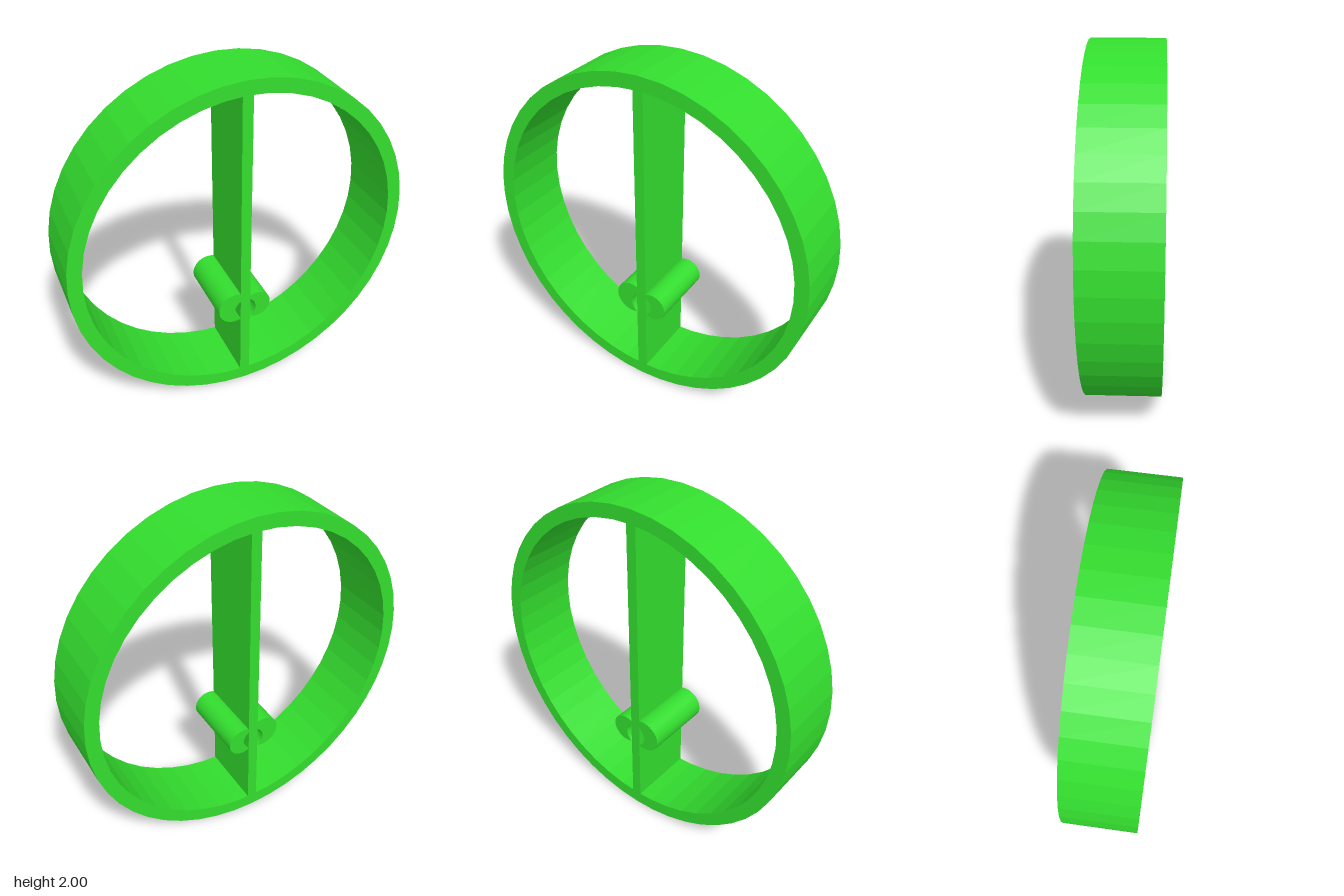
import * as THREE from 'three';

const DEPTH = 0.41;
const BAR_HALF = 0.03;

export function createModel() {
  const group = new THREE.Group();
  const material = new THREE.MeshStandardMaterial({ color: 0x33dd2e, flatShading: true });

  const add = (name, geometry) => {
    const mesh = new THREE.Mesh(geometry, material);
    mesh.name = name;
    group.add(mesh);
    return mesh;
  };
  const extrude = (shape) =>
    new THREE.ExtrudeGeometry(shape, { depth: DEPTH, bevelEnabled: false, curveSegments: 24 })
      .translate(0, 0, -DEPTH / 2);

  // Outer ring
  const ringShape = new THREE.Shape().absarc(0, 1, 1, 0, Math.PI * 2);
  ringShape.holes.push(new THREE.Path().absarc(0, 1, 0.92, 0, Math.PI * 2, true));
  add('ring', extrude(ringShape));

  // Upright divider across the ring
  add('divider', new THREE.BoxGeometry(BAR_HALF * 2, 1.84, DEPTH)).position.y = 1;

  // Round lobes against the divider, hollowed by a shared central bore
  const bore = { y: 0.56, rx: 0.066, ry: 0.073 };
  const lobe = (side, cx, cy, r) => {
    const points = [];
    const n = 24;
    // Outer arc, from the top of the divider contact to the bottom
    const a0 = Math.acos((BAR_HALF - cx) / r);
    for (let i = 0; i <= n; i++) {
      const a = a0 - (2 * a0 * i) / n;
      points.push(new THREE.Vector2(side * (cx + r * Math.cos(a)), cy + r * Math.sin(a)));
    }
    // Bore wall, back up to the divider
    const b0 = Math.acos(BAR_HALF / bore.rx);
    for (let i = 0; i <= 12; i++) {
      const b = -b0 + (2 * b0 * i) / 12;
      points.push(new THREE.Vector2(side * bore.rx * Math.cos(b), bore.y + bore.ry * Math.sin(b)));
    }
    return extrude(new THREE.Shape(points));
  };
  add('rightLobe', lobe(-1, 0.066, 0.588, 0.1));
  add('leftLobe', lobe(1, 0.072, 0.573, 0.087));

  return group;
}
